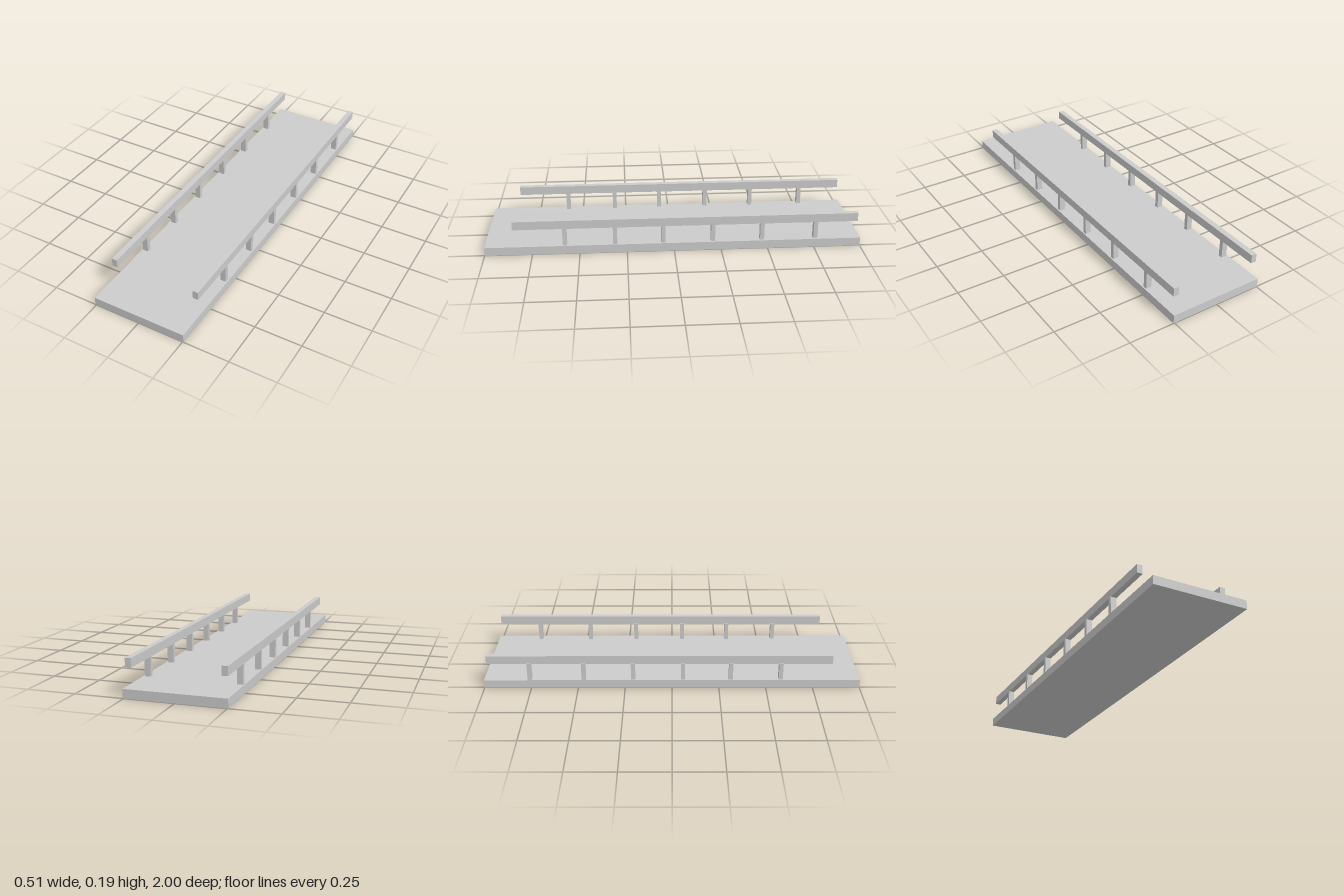
import * as THREE from 'three';

export function createModel() {
  const group = new THREE.Group();
  const material = new THREE.MeshStandardMaterial({ color: 0xcccccc, flatShading: true });

  // Box given by its centre in x and z, and its bottom and top heights
  function addBox(name, width, depth, bottom, top, x, z) {
    const mesh = new THREE.Mesh(new THREE.BoxGeometry(width, top - bottom, depth), material);
    mesh.name = name;
    mesh.position.set(x, (bottom + top) / 2, z);
    group.add(mesh);
  }

  // Flat walkway
  addBox('deck', 0.51, 2, 0, 0.046, 0, 0);

  // A handrail on six posts along each side
  const postZ = [0.578, 0.313, 0.058, -0.207, -0.47, -0.757];
  for (const [side, sign] of [['left', 1], ['right', -1]]) {
    addBox(side + 'Handrail', 0.03, 1.828, 0.142, 0.188, sign * 0.233, -0.066);
    // Posts sit a hair toward the right of their rails
    postZ.forEach((z, i) =>
      addBox(side + 'Post' + (i + 1), 0.031, 0.022, 0.04, 0.146, sign * 0.233 - 0.0015, z));
  }
  return group;
}
